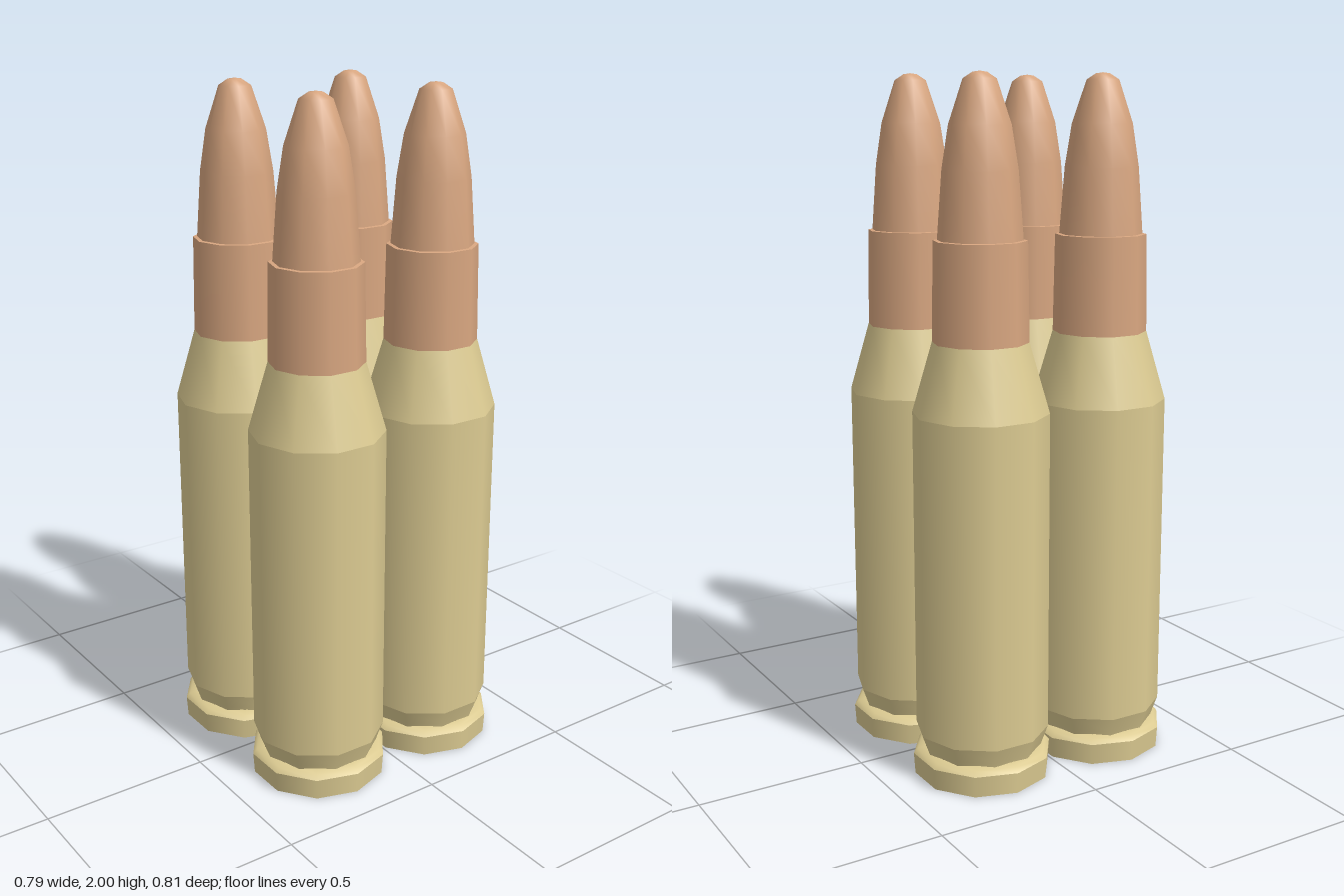
import * as THREE from 'three';

const SIDES = 10;

// Revolves a bottom-to-top profile of [radius, height] pairs
function lathe(profile, turn = 0) {
  const points = profile.map(([r, y]) => new THREE.Vector2(r, y));
  return new THREE.LatheGeometry(points, SIDES, turn);
}

export function createModel() {
  const brass = new THREE.MeshStandardMaterial({ color: 0xdccb92 });
  brass.name = 'brass';
  const copper = new THREE.MeshStandardMaterial({ color: 0xd8a680 });
  copper.name = 'copper';

  const half = Math.PI / SIDES;
  // Separate bands keep the creases between them sharp
  const parts = [
    ['base', brass, lathe([[0, 0], [0.2, 0]])],
    ['rim', brass, lathe([[0.2, 0], [0.204, 0.062]])],
    ['rimTop', brass, lathe([[0.204, 0.062], [0.192, 0.076], [0.168, 0.08]])],
    ['extractorGroove', brass, lathe([[0.172, 0.07], [0.178, 0.09], [0.194, 0.135]], half)],
    ['caseBody', brass, lathe([[0.194, 0.135], [0.194, 1.07]], half)],
    ['caseShoulder', brass, lathe([[0.194, 1.07], [0.136, 1.27]], half)],
    ['neck', copper, lathe([[0.136, 1.27], [0.131, 1.55]], half)],
    ['neckLip', copper, lathe([[0.131, 1.55], [0.11, 1.552]], half)],
    ['bullet', copper, lathe([[0.12, 1.54], [0.105, 1.74], [0.086, 1.86],
      [0.046, 1.98], [0.02, 1.997], [0, 2]], half)],
  ];

  // Four identical rounds standing in a square
  const group = new THREE.Group();
  group.name = 'cartridges';
  for (const x of [-0.2, 0.2]) {
    for (const z of [-0.2, 0.2]) {
      const round = new THREE.Group();
      round.name = 'cartridge';
      for (const [name, material, geometry] of parts) {
        const mesh = new THREE.Mesh(geometry, material);
        mesh.name = name;
        round.add(mesh);
      }
      // The base disc faces down
      round.position.set(x, 0, z);
      group.add(round);
    }
  }
  return group;
}
